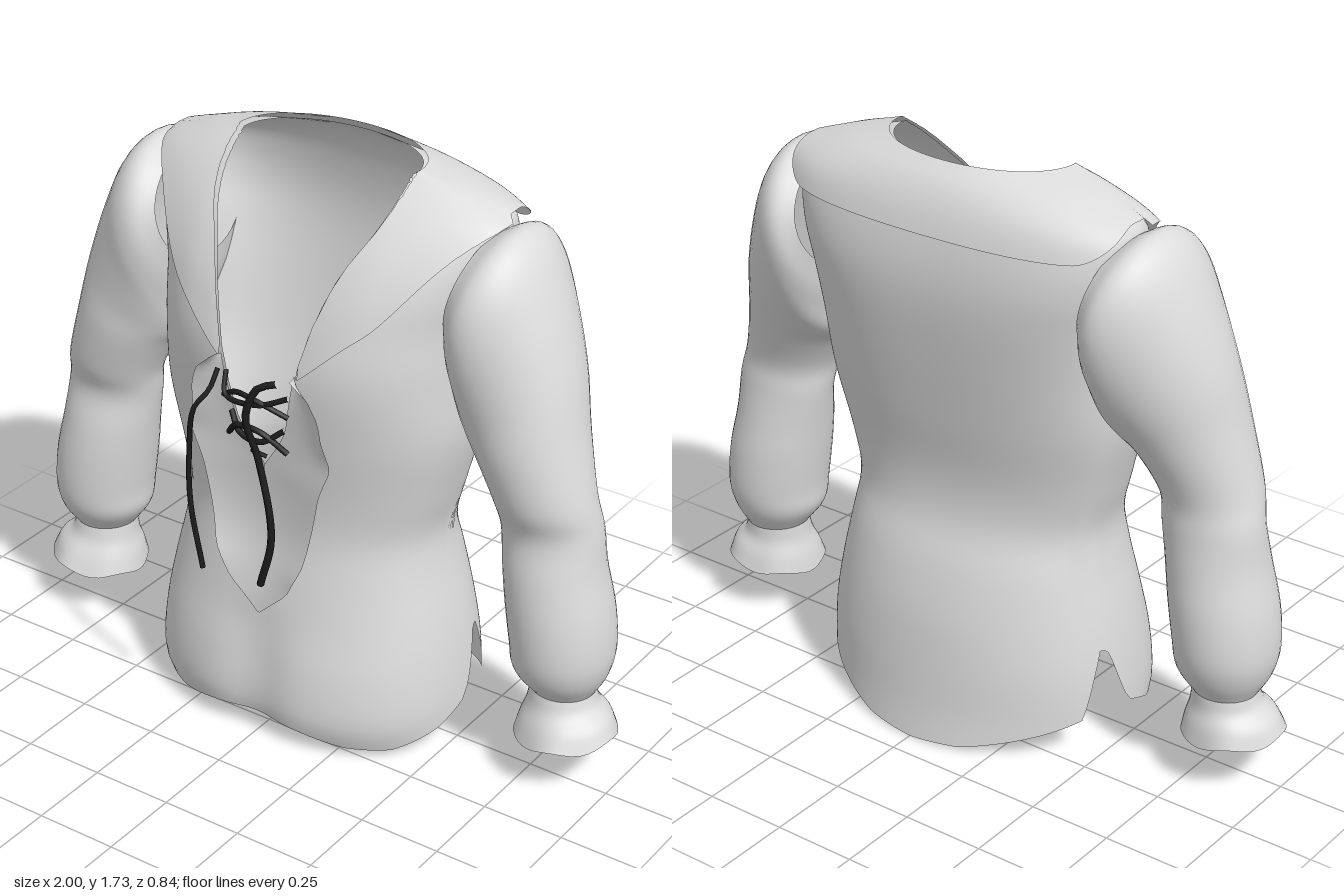
import * as THREE from 'three';

const cloth = new THREE.MeshStandardMaterial({ color: 0xdcdcdc, side: THREE.DoubleSide });
cloth.name = 'cloth';
const cord = new THREE.MeshStandardMaterial({ color: 0x1c1c1c });
cord.name = 'black cord';
const smooth = THREE.MathUtils.smoothstep;

// Interpolates column c of a table whose first column is the key
function look(rows, key, c, linear = false) {
  const n = rows.length - 1;
  if (key <= rows[0][0]) return rows[0][c];
  if (key >= rows[n][0]) return rows[n][c];
  let i = 0;
  while (rows[i + 1][0] < key) i++;
  const p = rows[i], q = rows[i + 1], h = q[0] - p[0], t = (key - p[0]) / h;
  if (linear) return p[c] + (q[c] - p[c]) * t;
  const slope = k => {
    const a = rows[Math.max(k - 1, 0)], b = rows[Math.min(k + 1, n)];
    return (b[c] - a[c]) / (b[0] - a[0]);
  };
  const t2 = t * t, t3 = t2 * t;
  return p[c] * (2 * t3 - 3 * t2 + 1) + q[c] * (3 * t2 - 2 * t3)
    + slope(i) * h * (t3 - 2 * t2 + t) + slope(i + 1) * h * (t3 - t2);
}

// Smooth sheet from point(u, v); closed joins the u ends
function sheet(name, point, nu, nv, closed) {
  const pos = [], index = [], cols = closed ? nu : nu + 1;
  for (let j = 0; j <= nv; j++)
    for (let i = 0; i < cols; i++) pos.push(...point(i / nu, j / nv));
  for (let j = 0; j < nv; j++)
    for (let i = 0; i < nu; i++) {
      const a = j * cols + i, b = j * cols + (i + 1) % cols;
      index.push(a, b, b + cols, a, b + cols, a + cols);
    }
  const g = new THREE.BufferGeometry();
  g.setAttribute('position', new THREE.Float32BufferAttribute(pos, 3));
  g.setIndex(index);
  g.computeVertexNormals();
  const m = new THREE.Mesh(g, cloth);
  m.name = name;
  return m;
}

// Body sections: height, half width, front z, back z, widest z, back and front squareness
const BODY = [
  [0.0, 0.485, 0.305, -0.425, -0.05, 2.0, 2.4], [0.1, 0.5, 0.345, -0.41, -0.05, 2.0, 2.4],
  [0.25, 0.49, 0.335, -0.395, -0.05, 2.1, 2.4], [0.4, 0.465, 0.3, -0.375, -0.05, 2.1, 2.4],
  [0.55, 0.43, 0.27, -0.335, -0.05, 2.2, 2.4], [0.67, 0.415, 0.25, -0.29, -0.05, 2.2, 2.4],
  [0.8, 0.445, 0.25, -0.28, -0.05, 2.3, 2.4], [1.0, 0.49, 0.27, -0.31, -0.06, 2.4, 2.4],
  [1.2, 0.495, 0.288, -0.34, -0.08, 2.6, 2.4], [1.35, 0.505, 0.262, -0.357, -0.1, 2.8, 2.4],
  [1.45, 0.525, 0.225, -0.357, -0.1, 3, 2.4], [1.55, 0.54, 0.168, -0.342, -0.1, 3, 2.3],
  [1.63, 0.525, 0.1, -0.318, -0.1, 2.8, 2.2], [1.69, 0.42, 0.04, -0.28, -0.08, 2.4, 2],
  [1.73, 0.285, -0.02, -0.23, -0.05, 2.1, 2],
];
// Half width by height: neck opening, front collar edge, lacing flap
const NECK = [[0.88, 0], [1.0, 0.075], [1.1, 0.1], [1.24, 0.13], [1.37, 0.163], [1.5, 0.207],
  [1.6, 0.258], [1.68, 0.281], [1.73, 0.286]];
const COLLAR = [[1.19, 0.12], [1.28, 0.22], [1.37, 0.32], [1.55, 0.455], [1.66, 0.58]];
const FLAP = [[0.41, 0.004], [0.5, 0.1], [0.6, 0.15], [0.7, 0.17], [0.85, 0.2], [0.95, 0.242],
  [1.03, 0.22], [1.1, 0.215], [1.16, 0.19], [1.21, 0.135]];
// Hem height by angle from the front, with the side slit
const HEM = [[0, 0.08], [0.25, 0.07], [0.55, 0.035], [0.9, 0.03], [1.3, 0.075], [1.53, 0.12], [1.62, 0.2],
  [1.72, 0.31], [1.8, 0.33], [1.88, 0.25], [2.0, 0.12], [2.4, 0.07], [2.8, 0.02], [Math.PI, 0.008]];

// Front surface, with a shallow crease down the middle of the skirt
function frontZ(x, y) {
  const zc = look(BODY, y, 4), n = look(BODY, y, 6), f = Math.abs(x) / look(BODY, y, 1);
  const crease = 0.025 * Math.exp(-((x / 0.1) ** 2)) * (1 - smooth(y, 0.25, 0.5));
  return zc + (look(BODY, y, 2) - zc) * Math.max(0, 1 - f ** n) ** (1 / n) - crease;
}

function bodyPoint(a, y, out = 0) {
  const s = Math.sin(a), c = Math.cos(a), e = 2 / look(BODY, y, c < 0 ? 5 : 6);
  const zc = look(BODY, y, 4);
  const x = look(BODY, y, 1) * Math.sign(s) * Math.abs(s) ** e;
  const z = c < 0 ? (look(BODY, y, 3) - zc) * Math.abs(c) ** e : frontZ(x, y) - zc;
  const r = Math.hypot(x, z) || 1;
  return [x + out * x / r, y, zc + z + out * z / r];
}

// Height at which a front column first enters an opening
function edgeHeight(a, table) {
  if (Math.cos(a) < 0) return 1.73;
  const f = Math.abs(Math.sin(a));
  let y = table[0][0];
  while (y < 1.73 && f ** (2 / look(BODY, y, 6)) * look(BODY, y, 1) > look(table, y, 1)) y += 0.002;
  return Math.min(y, 1.73);
}

function collarBottom(a) {
  const c = Math.cos(a);
  if (c >= 0) return Math.min(edgeHeight(a, COLLAR), 1.64);
  return 1.64 - 0.085 * smooth(-c, 0.1, 0.7);
}

// Sleeve rings: outer x, y, inner x, y, centre z, half depth
const SLEEVE = [
  [0.52, 1.6, 0.45, 1.28, -0.095, 0.2], [0.6, 1.635, 0.46, 1.2, -0.092, 0.24],
  [0.67, 1.585, 0.475, 1.13, -0.085, 0.243], [0.74, 1.45, 0.485, 1.07, -0.075, 0.22],
  [0.805, 1.27, 0.505, 1.03, -0.058, 0.193], [0.845, 1.1, 0.545, 0.985, -0.035, 0.17],
  [0.892, 0.92, 0.6, 0.88, -0.02, 0.138], [0.915, 0.82, 0.617, 0.79, -0.035, 0.126],
  [0.93, 0.7, 0.635, 0.68, -0.03, 0.145], [0.96, 0.56, 0.65, 0.58, -0.03, 0.16],
  [0.97, 0.44, 0.67, 0.45, -0.03, 0.16], [0.955, 0.36, 0.68, 0.37, -0.03, 0.14],
  [0.92, 0.295, 0.73, 0.3, -0.035, 0.095],
];
const CUFF = [
  [0.92, 0.3, 0.73, 0.3, -0.035, 0.095], [0.935, 0.26, 0.725, 0.25, -0.03, 0.105],
  [0.975, 0.225, 0.71, 0.2, -0.025, 0.13], [0.998, 0.178, 0.7, 0.148, -0.02, 0.15],
];

function tubeSheet(name, rings, side, wave, nv) {
  const table = rings.map((r, i) => [i, ...r]);
  return sheet(name, (u, v) => {
    const [xo, yo, xi, yi, zc, rz] = [1, 2, 3, 4, 5, 6].map(c => look(table, v * (rings.length - 1), c));
    const a = u * Math.PI * 2, k = (1 + Math.cos(a)) / 2;
    const ripple = wave * v * v * Math.sin(a * 5 + 1);
    return [side * (xi + (xo - xi) * k), yi + (yo - yi) * k + ripple, zc + (rz + ripple * 0.5) * Math.sin(a)];
  }, 40, nv, true);
}

export function createModel() {
  const shirt = new THREE.Group();
  shirt.name = 'laced shirt';

  // Body with open neck and slit hem
  shirt.add(sheet('body', (u, v) => {
    const a = u * Math.PI * 2;
    const low = look(HEM, Math.min(a, 2 * Math.PI - a), 1, true), high = edgeHeight(a, NECK);
    return bodyPoint(a, low + (high - low) * (1 - (1 - v) ** 1.4));
  }, 160, 56, true));

  // Wide collar lying over the shoulders
  const start = Math.asin(0.2);
  shirt.add(sheet('collar', (u, v) => {
    const a = start + u * (Math.PI * 2 - start * 2);
    const high = edgeHeight(a, NECK), low = Math.min(collarBottom(a), high);
    const edge = (1 - v) ** 2, side = Math.sin(a) ** 4;
    const end = smooth(Math.min(u, 1 - u), 0, 0.05);
    const p = bodyPoint(a, low + (high - low) * v, 0.006 + 0.007 * end + edge * (0.005 + 0.025 * side));
    p[1] += (0.01 + 0.012 * edge * side) * end;
    return p;
  }, 120, 14, false));

  for (const side of [1, -1]) {
    const name = side > 0 ? 'left' : 'right';
    shirt.add(tubeSheet(name + ' sleeve', SLEEVE, side, 0, 60));
    shirt.add(tubeSheet(name + ' cuff', CUFF, side, 0.007, 12));
    // Loose flap beside the lacing
    shirt.add(sheet(name + ' lacing flap', (u, v) => {
      const y = 0.41 + 0.8 * v;
      const inner = y > 0.88 ? look(NECK, y, 1) : 0, outer = Math.max(inner, look(FLAP, y, 1, true));
      const x = inner + (outer - inner) * u;
      const lift = 0.008 + 0.04 * u * u * smooth(y, 0.42, 0.6);
      return [side * x, y, frontZ(x, y) + lift];
    }, 8, 32, false));
  }

  // Laces: radius followed by path points
  const laces = [
    ['right hanging lace', 0.008, [-0.09, 1.2, 0.35], [-0.1, 1.14, 0.38], [-0.13, 1.09, 0.41], [-0.15, 0.95, 0.41], [-0.15, 0.78, 0.41], [-0.11, 0.58, 0.412]],
    ['left hanging lace', 0.011, [0.1, 1.2, 0.34], [0.05, 1.18, 0.36], [0.02, 1.09, 0.375], [0.04, 0.95, 0.345], [0.08, 0.71, 0.342], [0.04, 0.54, 0.342]],
    ['upper cross lace', 0.008, [-0.11, 1.09, 0.3], [-0.04, 1.13, 0.33], [0.03, 1.12, 0.33], [0.11, 1.08, 0.3]],
    ['upper cross lace', 0.008, [-0.1, 1.17, 0.3], [-0.08, 1.11, 0.33], [0.03, 1.11, 0.33], [0.11, 1.14, 0.3]],
    ['lower cross lace', 0.009, [-0.1, 0.97, 0.29], [-0.05, 1.02, 0.32], [0.03, 1.02, 0.32], [0.1, 0.96, 0.29]],
    ['lower cross lace', 0.009, [-0.09, 1.04, 0.29], [-0.04, 1.0, 0.32], [0.03, 0.99, 0.32], [0.09, 1.03, 0.29]],
    ['bottom lace', 0.007, [-0.02, 0.935, 0.29], [0, 0.94, 0.3], [0.03, 0.93, 0.29]],
  ];
  for (const [name, radius, ...pts] of laces) {
    const path = new THREE.CatmullRomCurve3(pts.map(p => new THREE.Vector3(...p)), false, 'centripetal');
    const lace = new THREE.Mesh(new THREE.TubeGeometry(path, 24, radius, 6), cord);
    lace.name = name;
    shirt.add(lace);
  }
  return shirt;
}
